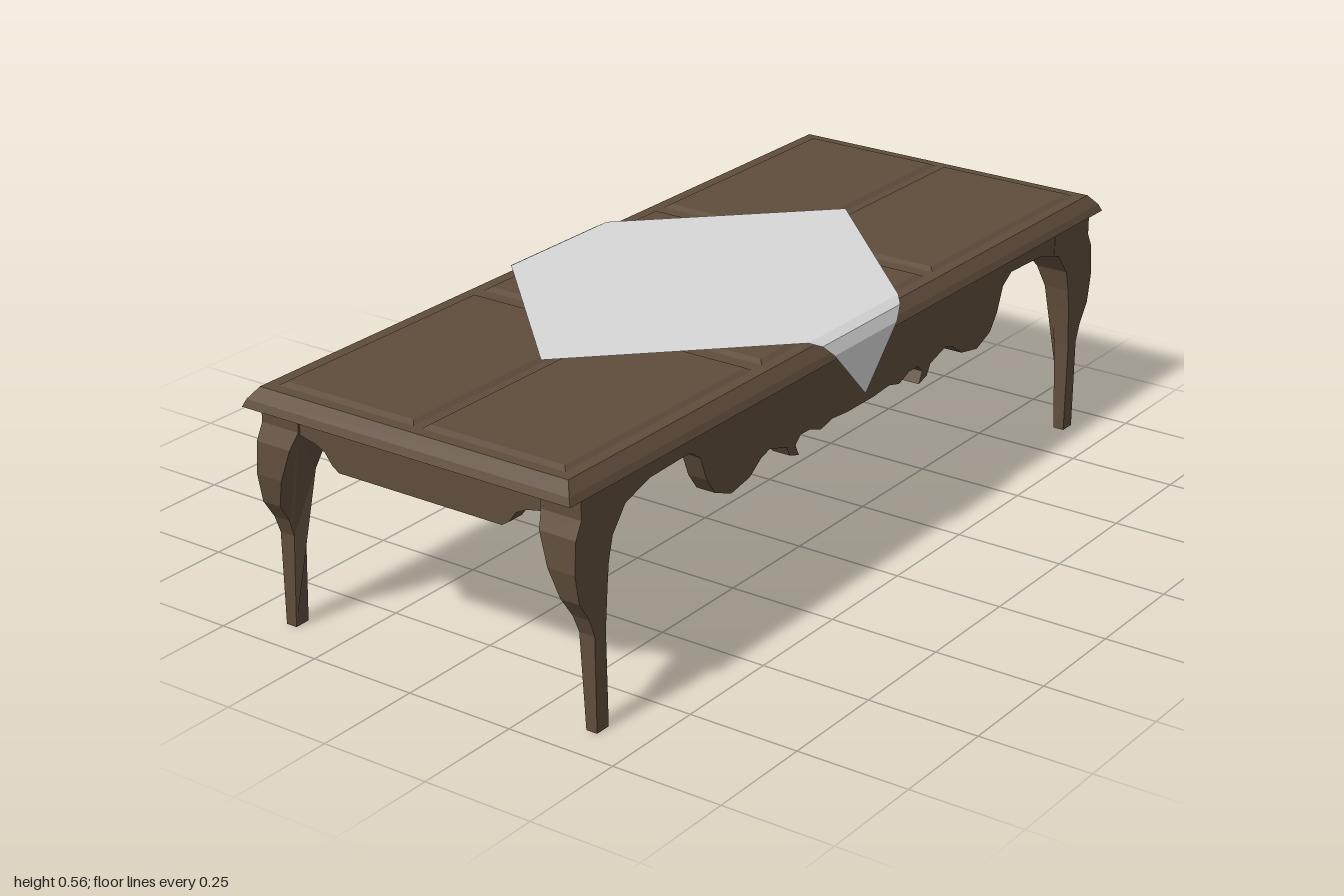
import * as THREE from 'three';

// Loft through rectangles [halfX, halfZ, y] from bottom to top, closed at both ends
function rectLoft(rings) {
  const pos = [], index = [];
  for (const [x, z, y] of rings) pos.push(-x, y, z, x, y, z, x, y, -z, -x, y, -z);
  for (let r = 0; r < rings.length - 1; r++) {
    for (let i = 0; i < 4; i++) {
      const a = r * 4 + i, b = r * 4 + (i + 1) % 4;
      index.push(a, b, b + 4, a, b + 4, a + 4);
    }
  }
  const t = (rings.length - 1) * 4;
  index.push(0, 2, 1, 0, 3, 2, t, t + 1, t + 2, t, t + 2, t + 3);
  return flat(pos, index);
}

function flat(pos, index) {
  const indexed = new THREE.BufferGeometry();
  indexed.setAttribute('position', new THREE.Float32BufferAttribute(pos, 3));
  indexed.setIndex(index);
  const geo = indexed.toNonIndexed();
  geo.computeVertexNormals();
  return geo;
}

function extrude(points, depth) {
  const shape = new THREE.Shape(points.map(([x, y]) => new THREE.Vector2(x, y)));
  return new THREE.ExtrudeGeometry(shape, { depth, bevelEnabled: false });
}

// Piecewise linear lookup in [key, value] pairs
function lookup(table, k) {
  for (let i = 1; i < table.length; i++) {
    const [k0, v0] = table[i - 1], [k1, v1] = table[i];
    if (k <= k1) return v0 + (v1 - v0) * (k - k0) / (k1 - k0);
  }
  return table[table.length - 1][1];
}

const TOP_Y = 0.512, FACE_Z = 0.4;

// Leg outline: outer edge downwards, then inner edge upwards
const legOutline = [
  [0.955, TOP_Y], [0.955, 0.465], [0.973, 0.43], [0.978, 0.36], [0.965, 0.295],
  [0.935, 0.25], [0.92, 0.21], [0.917, 0], [0.88, 0], [0.885, 0.21],
  [0.878, 0.3], [0.873, 0.35], [0.86, 0.4], [0.82, 0.45], [0.8, 0.46], [0.8, TOP_Y],
];

// Leg depth by height
const legDepth = [[0, 0.026], [0.2, 0.036], [0.3, 0.046], [0.46, 0.096], [0.6, 0.096]];

// Scalloped lower edge of the long apron, from the leg to the centre
const apronEdge = [
  [0.86, 0.4], [0.82, 0.45], [0.74, 0.474], [0.61, 0.478], [0.575, 0.455], [0.553, 0.4],
  [0.525, 0.362], [0.47, 0.34], [0.405, 0.352], [0.365, 0.38], [0.335, 0.388], [0.275, 0.37],
  [0.262, 0.347], [0.23, 0.337], [0.243, 0.363], [0.225, 0.38], [0.19, 0.38],
  [0.15, 0.365], [0.11, 0.375], [0.05, 0.37],
];

// Lower edge of the end apron
const endEdge = [[0.37, 0.46], [0.305, 0.458], [0.265, 0.45], [0.24, 0.437], [0.222, 0.413], [0.205, 0.402]];

const mirrored = (edge) => [...edge, ...edge.map(([x, y]) => [-x, y]).reverse()];

export function createModel() {
  const model = new THREE.Group();
  model.name = 'coffeeTable';
  const wood = new THREE.MeshStandardMaterial({ color: 0x5f4d3c });
  wood.name = 'dark wood';
  const linen = new THREE.MeshStandardMaterial({ color: 0xd8d8d8, side: THREE.DoubleSide });
  linen.name = 'pale linen';

  const add = (parent, name, geo, mat = wood) => {
    const mesh = new THREE.Mesh(geo, mat);
    mesh.name = name;
    parent.add(mesh);
    return mesh;
  };

  // Table top with a rounded-off rim
  add(model, 'tableTop', rectLoft([
    [1, 0.409, 0.511], [0.993, 0.402, 0.527], [0.972, 0.384, 0.551],
  ]));

  // Six raised panels with grooves between them
  for (const [cx, half] of [[-0.643, 0.307], [0, 0.31], [0.643, 0.307]]) {
    for (const s of [-1, 1]) {
      const panel = add(model, 'topPanel', rectLoft([
        [half, 0.177, 0.549], [half - 0.016, 0.163, 0.558],
      ]));
      panel.position.set(cx, 0, s * 0.184);
    }
  }

  // Long sides: two curved legs and a scalloped apron, repeated at the back
  for (const [name, turn] of [['front', 0], ['back', Math.PI]]) {
    const side = new THREE.Group();
    side.name = name + 'Side';
    side.rotation.y = turn;
    model.add(side);

    for (const s of [-1, 1]) {
      const geo = extrude(legOutline.map(([x, y]) => [s * x, y]), 1);
      const p = geo.attributes.position;
      for (let i = 0; i < p.count; i++) {
        p.setZ(i, FACE_Z - (1 - p.getZ(i)) * lookup(legDepth, p.getY(i)));
      }
      geo.computeVertexNormals();
      add(side, name + 'Leg', geo);
    }

    const apron = extrude([[0.86, TOP_Y], ...mirrored(apronEdge), [-0.86, TOP_Y]], 0.045);
    apron.translate(0, 0, FACE_Z - 0.046);
    add(side, name + 'Apron', apron);
  }

  // End aprons
  for (const s of [-1, 1]) {
    const geo = extrude([[0.37, TOP_Y], ...mirrored(endEdge), [-0.37, TOP_Y]], 0.04);
    geo.translate(0, 0, 0.91);
    geo.rotateY(s * Math.PI / 2);
    add(model, 'endApron', geo);
  }

  // Diamond cloth draped over both long edges: rows of [z, y, half width]
  const half = [[0, 0.563, 0.555], [0.385, 0.563, 0.17], [0.405, 0.552, 0.147], [0.416, 0.525, 0.118], [0.417, 0.402, 0]];
  const rows = [...half.slice(1).reverse().map(([z, y, w]) => [-z, y, w]), ...half];
  const pos = [], index = [];
  rows.forEach(([z, y, w], i) => {
    pos.push(-0.01 - w, y, z, -0.01 + w, y, z);
    const a = i * 2;
    if (i > 0) index.push(a - 2, a, a + 1, a - 2, a + 1, a - 1);
  });
  add(model, 'tableCloth', flat(pos, index), linen);

  return model;
}
